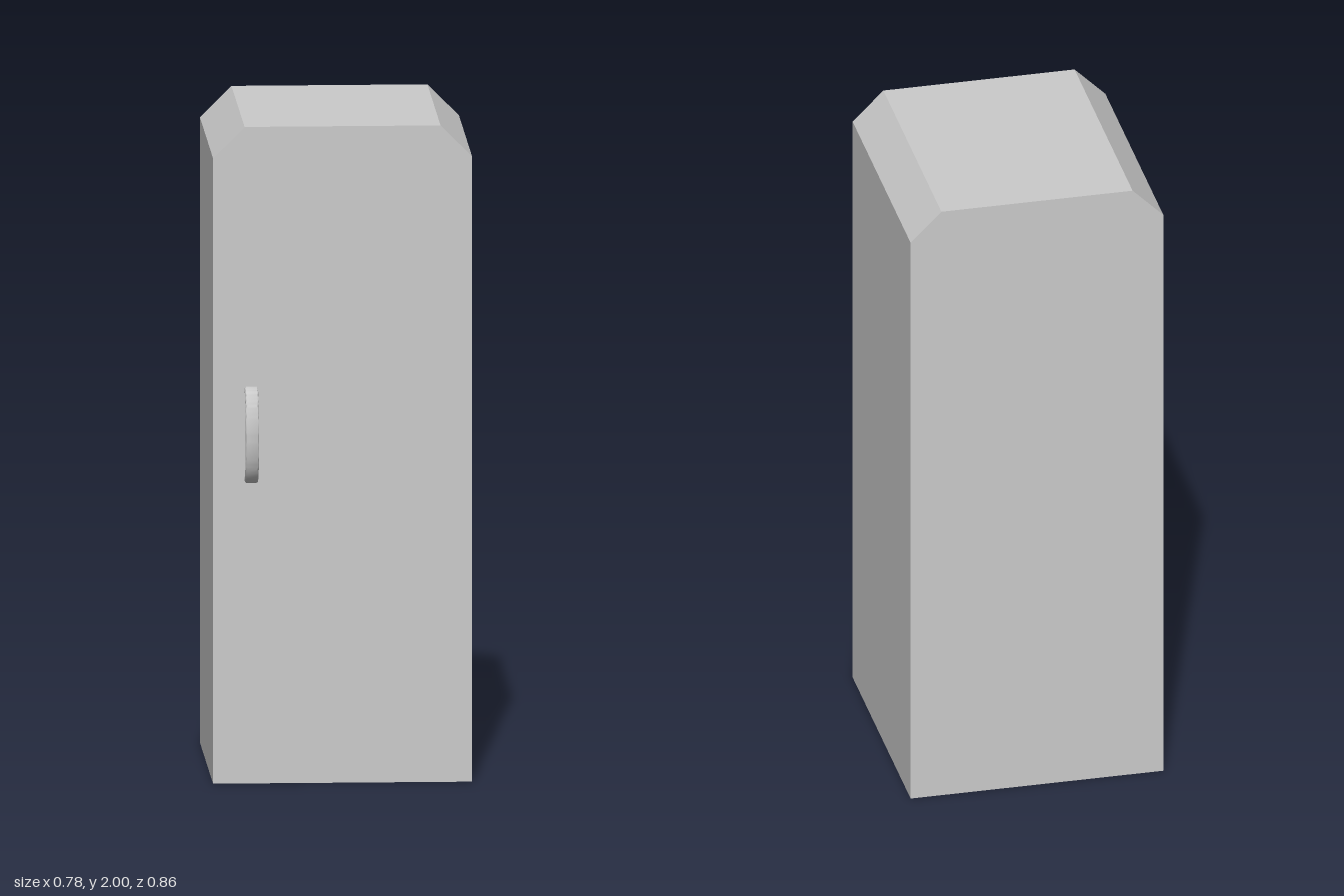
import * as THREE from 'three';
import { toCreasedNormals } from 'three/addons/utils/BufferGeometryUtils.js';

const grey = new THREE.MeshStandardMaterial({ color: 0xcccccc });

// Cabinet: front outline with chamfered top corners, extruded front to back
function makeCabinet() {
  const w = 0.39, h = 2, c = 0.095, back = -0.43, front = 0.35;
  const outline = new THREE.Shape([
    [-w, 0], [w, 0], [w, h - c], [w - c, h], [-w + c, h], [-w, h - c],
  ].map(([x, y]) => new THREE.Vector2(x, y)));
  const geometry = new THREE.ExtrudeGeometry(outline, { depth: front - back, bevelEnabled: false });
  geometry.translate(0, 0, back);
  const cabinet = new THREE.Mesh(geometry, grey);
  cabinet.name = 'cabinet';
  return cabinet;
}

// Handle: bowed half-ellipse grip with softened edges, ends sunk into the door
function makeHandle() {
  const bevel = 0.007, width = 0.04, sink = 0.008;
  const outer = { x: 0.08, y: 0.147 }, inner = { x: 0.053, y: 0.122 };
  const arch = new THREE.Shape();
  arch.moveTo(-sink, -outer.y);
  arch.absellipse(0, 0, outer.x, outer.y, -Math.PI / 2, Math.PI / 2, false);
  arch.lineTo(-sink, outer.y);
  arch.lineTo(-sink, inner.y);
  arch.absellipse(0, 0, inner.x, inner.y, Math.PI / 2, -Math.PI / 2, true);
  arch.lineTo(-sink, -inner.y);
  const geometry = new THREE.ExtrudeGeometry(arch, {
    depth: width - 2 * bevel, curveSegments: 24,
    bevelThickness: bevel, bevelSize: bevel, bevelOffset: -bevel, bevelSegments: 3,
  });
  geometry.translate(0, 0, bevel - width / 2);
  geometry.rotateY(-Math.PI / 2); // outline x becomes forward z
  const handle = new THREE.Mesh(toCreasedNormals(geometry, 0.9), grey);
  handle.position.set(-0.275, 1.0625, 0.35);
  handle.name = 'doorHandle';
  return handle;
}

export function createModel() {
  const model = new THREE.Group();
  model.name = 'refrigerator';
  model.add(makeCabinet(), makeHandle());
  return model;
}
